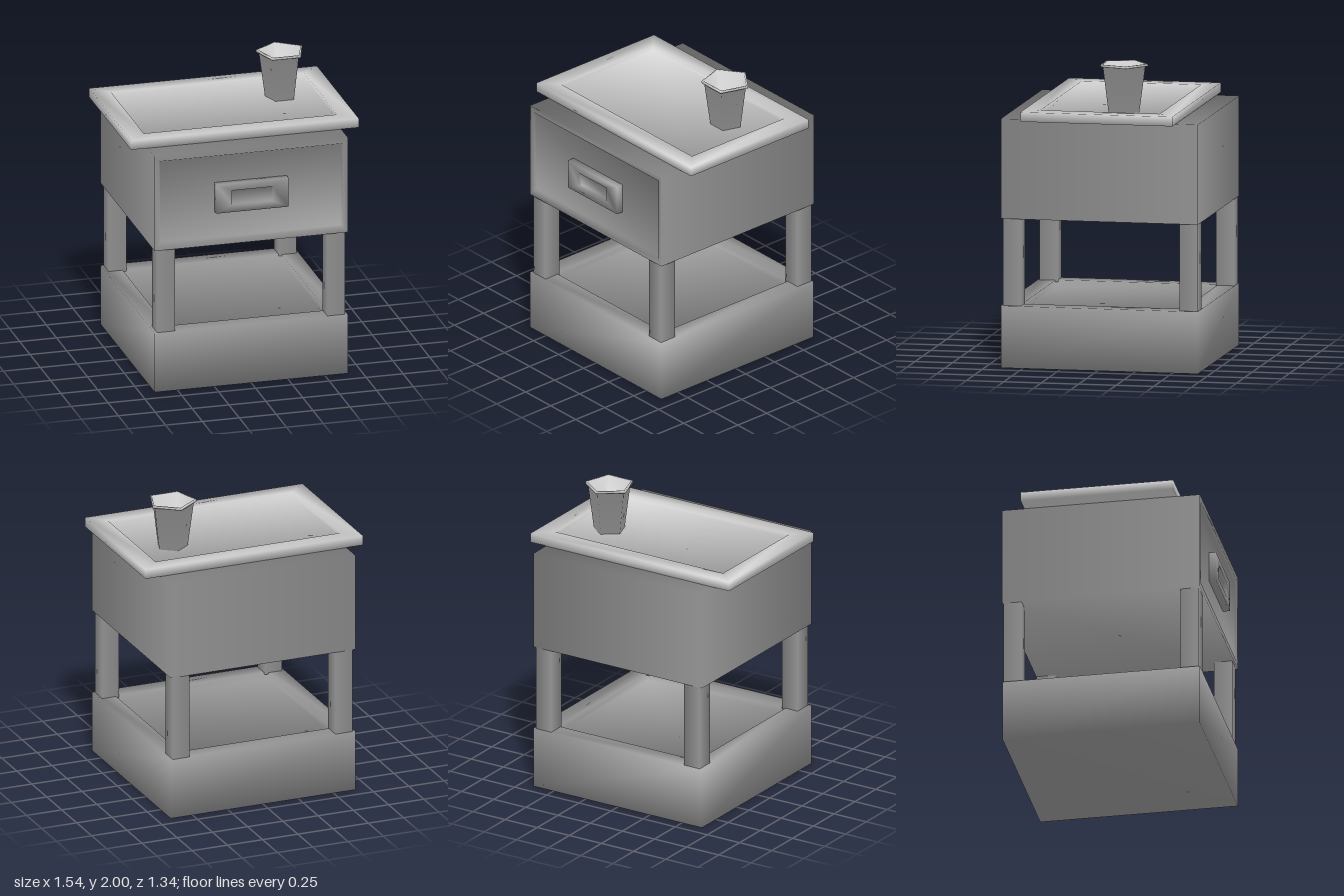
import * as THREE from 'three';

const light = new THREE.MeshStandardMaterial({ color: 0xcccccc });
const dark = new THREE.MeshStandardMaterial({ color: 0x949494 });
const SQUARE = [[1, 1], [-1, 1], [-1, -1], [1, -1]];
const PENTAGON = Array.from({ length: 5 }, (_, i) => {
  const a = -Math.PI / 2 + (i * 2 * Math.PI) / 5;
  return [Math.cos(a), Math.sin(a)];
});

// Shared vertex normals, each face weighted by its angle at the vertex
function smoothNormals(points, index) {
  const normals = points.map(() => new THREE.Vector3());
  for (let t = 0; t < index.length; t += 3) {
    for (let k = 0; k < 3; k++) {
      const [p, q, r] = [0, 1, 2].map((j) => index[t + ((k + j) % 3)]);
      const u = points[q].clone().sub(points[p]);
      const v = points[r].clone().sub(points[p]);
      const faceNormal = u.clone().cross(v).normalize();
      normals[p].addScaledVector(faceNormal, u.angleTo(v));
    }
  }
  return normals.map((normal) => normal.normalize());
}

// Closed solid through rings [halfX, halfZ, y] of one outline
function loft(outline, rings) {
  const n = outline.length;
  const points = rings.flatMap(([sx, sz, y]) =>
    outline.map(([x, z]) => new THREE.Vector3(x * sx, y, z * sz)));
  const index = [];
  for (let r = 0; r < rings.length - 1; r++) {
    for (let i = 0; i < n; i++) {
      const a = r * n + i;
      const b = r * n + ((i + 1) % n);
      index.push(a, a + n, b, b, a + n, b + n);
    }
  }
  const top = (rings.length - 1) * n;
  for (let i = 1; i < n - 1; i++) {
    index.push(0, i, i + 1, top, top + i + 1, top + i);
  }
  const geometry = new THREE.BufferGeometry().setFromPoints(points);
  const normals = smoothNormals(points, index).flatMap((v) => v.toArray());
  geometry.setAttribute('normal', new THREE.Float32BufferAttribute(normals, 3));
  geometry.setIndex(index);
  return geometry;
}

// Makes the shading of the eight outer corners run level around the upright walls
function levelWalls(geometry) {
  const { position, normal } = geometry.attributes;
  for (let i = 0; i < 8; i++) {
    const x = Math.sign(position.getX(i)) * Math.SQRT1_2;
    const z = Math.sign(normal.getZ(i)) * Math.SQRT1_2;
    normal.setXYZ(i, x, 0, z);
  }
  return geometry;
}

export function createModel() {
  const group = new THREE.Group();
  const add = (name, geometry, material, x, y, z) => {
    const mesh = new THREE.Mesh(geometry, material);
    mesh.name = name;
    mesh.position.set(x, y, z);
    group.add(mesh);
  };

  // Base box with a shallow sunken shelf
  add('base', loft(SQUARE, [
    [0.655, 0.657, 0], [0.655, 0.657, 0.41], [0.54, 0.54, 0.41], [0.54, 0.54, 0.36],
  ]), dark, 0, 0, -0.012);

  // Four square legs
  for (const x of [-0.575, 0.579]) {
    for (const z of [-0.605, 0.573]) {
      const leg = levelWalls(loft(SQUARE, [[0.06, 0.061, 0.4], [0.06, 0.061, 0.995]]));
      add('leg', leg, dark, x, 0, z);
    }
  }

  // Cabinet lofted from back to front, ending in the sunken drawer front
  add('cabinet', levelWalls(loft(SQUARE, [
    [0.655, 0.33, -0.67], [0.655, 0.33, 0.645], [0.625, 0.292, 0.645], [0.612, 0.282, 0.625],
  ]).rotateX(Math.PI / 2)), dark, 0, 1.315, 0);

  // Drawer handle plate with a finger recess
  add('handle', loft(SQUARE, [
    [0.245, 0.1, 0.615], [0.245, 0.1, 0.673], [0.137, 0.05, 0.673], [0.137, 0.05, 0.645],
  ]).rotateX(Math.PI / 2), dark, 0, 1.315, 0);

  // Table top with a raised rim
  add('tableTop', loft(SQUARE, [
    [0.772, 0.507, 1.647], [0.772, 0.507, 1.71], [0.655, 0.398, 1.71], [0.655, 0.398, 1.68],
  ]), light, 0, 0, -0.017);

  // Hollow five-sided cup with a lip
  const cupRings = [[0.106, 1.679], [0.147, 1.985], [0.164, 1.985], [0.164, 2], [0.15, 2], [0.1, 1.7]];
  add('cup', loft(PENTAGON, cupRings.map(([r, y]) => [r, r, y])), light, 0.417, 0, -0.123);

  return group;
}
